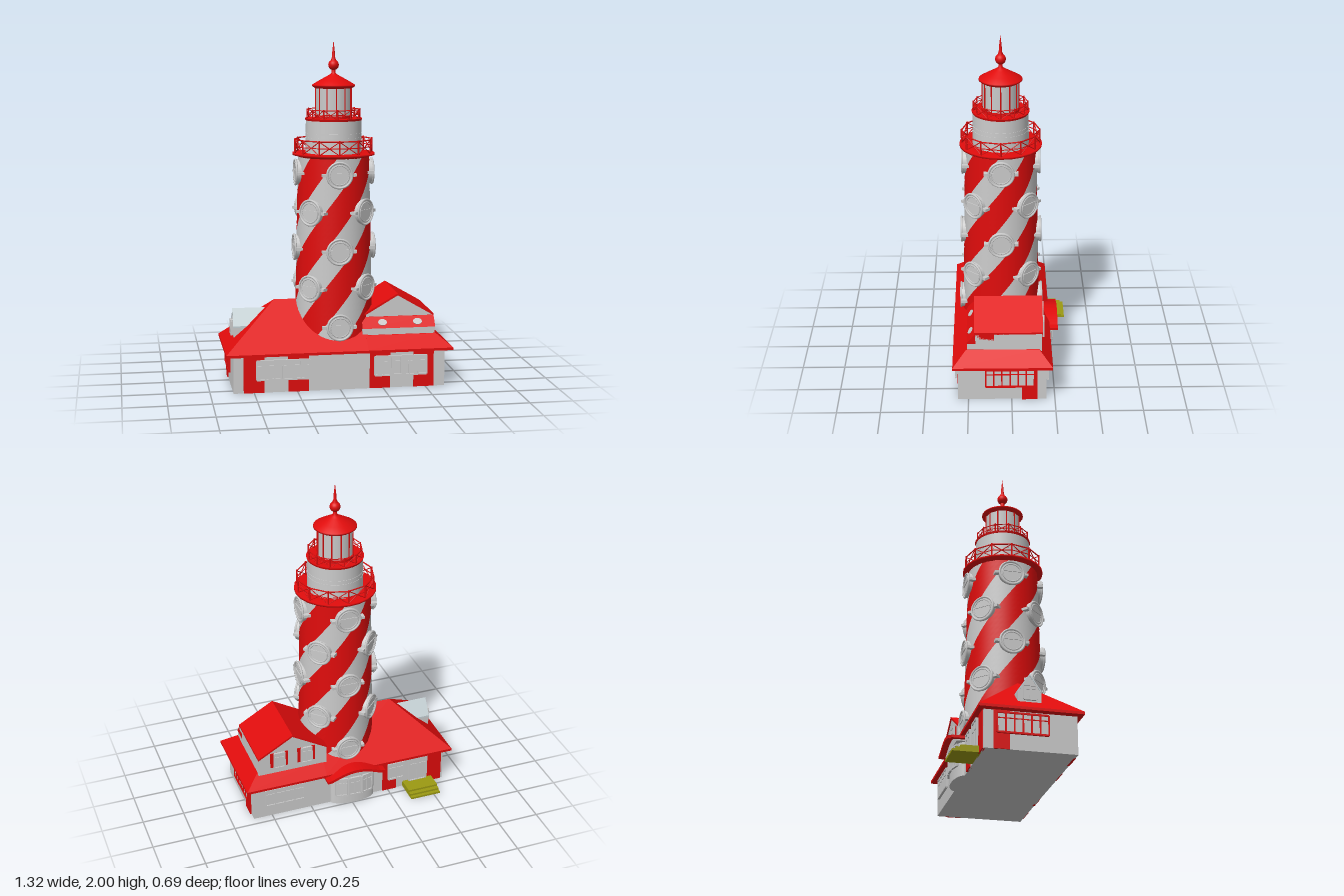
import * as THREE from 'three';

const mat = (color) => new THREE.MeshStandardMaterial({ color, side: THREE.DoubleSide });
const GREY = mat(0xcccccc), RED = mat(0xe00c0c), OLIVE = mat(0x9c9a12), GLASS = mat(0xc6d2d6);
const CZ = 0.055; // tower axis and main ridge

function add(parent, name, geo, material, x = 0, y = 0, z = 0) {
  const m = new THREE.Mesh(geo, material);
  m.name = name;
  m.position.set(x, y, z);
  parent.add(m);
  return m;
}

// Box given by its limits
function block(parent, name, material, x0, x1, y0, y1, z0, z1) {
  return add(parent, name, new THREE.BoxGeometry(x1 - x0, y1 - y0, z1 - z0), material,
    (x0 + x1) / 2, (y0 + y1) / 2, (z0 + z1) / 2);
}

// Box whose top rectangle differs from its bottom one: [x0, x1, z0, z1]
function tapered(parent, name, material, y0, y1, bottom, top) {
  const geo = new THREE.BoxGeometry(1, 1, 1), p = geo.attributes.position;
  for (let i = 0; i < p.count; i++) {
    const up = p.getY(i) > 0, r = up ? top : bottom;
    p.setXYZ(i, r[p.getX(i) > 0 ? 1 : 0], up ? y1 : y0, r[p.getZ(i) > 0 ? 3 : 2]);
  }
  geo.computeVertexNormals();
  return add(parent, name, geo, material);
}

function extrude(parent, name, material, pts, z0, z1) {
  const shape = new THREE.Shape(pts.map(([x, y]) => new THREE.Vector2(x, y)));
  return add(parent, name, new THREE.ExtrudeGeometry(shape, { depth: z1 - z0, bevelEnabled: false }), material, 0, 0, z0);
}

function lathe(parent, name, material, pts, segments = 48) {
  return add(parent, name, new THREE.LatheGeometry(pts.map(([x, y]) => new THREE.Vector2(x, y)), segments), material);
}

// Thin bar between two points
function bar(parent, name, material, a, b, r) {
  const m = add(parent, name, new THREE.CylinderGeometry(r, r, a.distanceTo(b), 5), material);
  m.position.copy(a).lerp(b, 0.5);
  m.quaternion.setFromUnitVectors(new THREE.Vector3(0, 1, 0), b.clone().sub(a).normalize());
}

// Framed window facing local +z
function windowUnit(parent, x, y, z, w, h, panes, turn = 0, frame = GREY) {
  const g = new THREE.Group();
  g.name = 'window';
  g.position.set(x, y, z);
  g.rotation.y = turn;
  block(g, 'windowPane', GREY, -w / 2, w / 2, -h / 2, h / 2, -0.005, 0.005);
  for (const s of [-1, 1]) block(g, 'windowRail', frame, -w / 2, w / 2, s * h / 2 - 0.005, s * h / 2 + 0.005, 0, 0.012);
  block(g, 'windowTransom', frame, -w / 2, w / 2, h * 0.2, h * 0.2 + 0.005, 0, 0.009);
  for (let i = 0; i <= panes; i++) {
    const u = -w / 2 + w * i / panes;
    block(g, 'windowMullion', frame, u - 0.004, u + 0.004, -h / 2, h / 2, 0, 0.011);
  }
  parent.add(g);
}

// Gabled body with a thin roof, ridge along local z
function gable(parent, name, roofMat, half, base, eave, ridge, z0, z1, over) {
  extrude(parent, name + 'Body', GREY, [[-half, base], [half, base], [half, eave - 0.01], [0, ridge - 0.012], [-half, eave - 0.01]], z0, z1);
  extrude(parent, name + 'Roof', roofMat, [[-half, eave - 0.012], [0, ridge - 0.012], [half, eave - 0.012], [half, eave],
    [0, ridge], [-half, eave]], z0 - over, z1 + over);
}

// Ring railing with crossed braces
function railing(parent, radius, y0, y1, n, r) {
  const at = (i, y) => new THREE.Vector3(Math.sin(i / n * Math.PI * 2) * radius, y, Math.cos(i / n * Math.PI * 2) * radius);
  for (let i = 0; i < n; i++) {
    bar(parent, 'railPost', RED, at(i, y0), at(i, y1 + 0.006), r * 1.3);
    bar(parent, 'topRail', RED, at(i, y1), at(i + 1, y1), r);
    bar(parent, 'midRail', RED, at(i, (y0 + y1) / 2), at(i + 1, (y0 + y1) / 2), r * 0.7);
    bar(parent, 'railBrace', RED, at(i, y0), at(i + 1, y1), r * 0.7);
    bar(parent, 'railBrace', RED, at(i, y1), at(i + 1, y0), r * 0.7);
  }
}

function buildTower() {
  const g = new THREE.Group(), H = 1.34, R0 = 0.235, R1 = 0.208, UP = new THREE.Vector3(0, 1, 0);
  g.name = 'tower';
  g.position.z = CZ;
  // Eight spiral stripes, each an eighth of the shaft, twisted with height
  for (let i = 0; i < 8; i++) {
    const geo = new THREE.CylinderGeometry(R1, R0, H, 6, 40, true, (i - 0.5) * Math.PI / 4, Math.PI / 4);
    geo.translate(0, H / 2, 0);
    const p = geo.attributes.position, n = geo.attributes.normal, v = new THREE.Vector3();
    for (let k = 0; k < p.count; k++) {
      const a = (p.getY(k) - 0.36) / 0.22 * Math.PI / 4;
      for (const t of [p, n]) {
        v.fromBufferAttribute(t, k).applyAxisAngle(UP, a);
        t.setXYZ(k, v.x, v.y, v.z);
      }
    }
    add(g, i % 2 ? 'redStripe' : 'whiteStripe', geo, i % 2 ? RED : GREY);
  }
  // Portholes follow the white stripes
  for (let i = 0; i < 8; i++) for (const y of i % 2 ? [0.58, 1.02] : [0.36, 0.8, 1.24]) {
    const a = i * Math.PI / 4, r = R0 + (R1 - R0) * y / H, port = new THREE.Group();
    port.name = 'porthole';
    port.position.set(Math.sin(a) * r, y, Math.cos(a) * r);
    port.rotation.y = a;
    add(port, 'portholeDrum', new THREE.CylinderGeometry(0.074, 0.074, 0.035, 24).rotateX(Math.PI / 2), GREY, 0, 0, -0.003);
    add(port, 'portholeRim', new THREE.TorusGeometry(0.072, 0.007, 6, 28), GREY, 0, 0, 0.014);
    add(port, 'portholeInnerRim', new THREE.TorusGeometry(0.056, 0.004, 5, 24), GREY, 0, 0, 0.015);
    block(port, 'portholeBar', GREY, -0.055, 0.055, 0.008, 0.014, 0.01, 0.019);
    for (const s of [-1, 1]) block(port, 'portholeEar', GREY, s * 0.084 - 0.016, s * 0.084 + 0.016, -0.008, 0.008, -0.025, 0.014);
    g.add(port);
  }
  // Galleries, watch room and lantern
  lathe(g, 'lowerGallery', RED, [[0.2, 1.325], [0.215, 1.335], [0.24, 1.34], [0.24, 1.352], [0.15, 1.352]], 24);
  railing(g, 0.226, 1.352, 1.43, 12, 0.004);
  add(g, 'watchRoom', new THREE.CylinderGeometry(0.161, 0.163, 0.2, 40), GREY, 0, 1.445, 0);
  for (const y of [1.44, 1.465]) add(g, 'watchRoomBand', new THREE.CylinderGeometry(0.164, 0.164, 0.005, 40), GREY, 0, y, 0);
  add(g, 'upperGallery', new THREE.CylinderGeometry(0.167, 0.163, 0.012, 40), RED, 0, 1.546, 0);
  railing(g, 0.156, 1.55, 1.602, 12, 0.003);
  add(g, 'lanternGlass', new THREE.CylinderGeometry(0.103, 0.103, 0.19, 12), GREY, 0, 1.645, 0);
  for (let i = 0; i < 12; i++) {
    const a = i * Math.PI / 6, x = Math.sin(a) * 0.104, z = Math.cos(a) * 0.104;
    bar(g, 'lanternMullion', RED, new THREE.Vector3(x, 1.55, z), new THREE.Vector3(x, 1.735, z), 0.004);
  }
  add(g, 'lanternSill', new THREE.CylinderGeometry(0.109, 0.109, 0.015, 24), RED, 0, 1.56, 0);
  lathe(g, 'lanternRoof', RED, [[0, 1.725], [0.108, 1.725], [0.126, 1.737], [0.124, 1.745], [0.085, 1.768], [0.04, 1.793],
    [0.022, 1.803], [0.012, 1.812], [0.012, 1.835]], 24);
  add(g, 'finialBall', new THREE.SphereGeometry(0.031, 20, 14), RED, 0, 1.858, 0);
  lathe(g, 'finialSpire', RED, [[0.018, 1.88], [0.01, 1.9], [0.007, 1.94], [0, 2]], 12);
  return g;
}

function buildHouse() {
  const g = new THREE.Group();
  g.name = 'house';
  block(g, 'walls', GREY, -0.618, 0.615, 0, 0.22, -0.2, 0.31);
  // Hipped roof: main wing, and the low part beneath the large dormer
  block(g, 'eaves', RED, -0.66, 0.66, 0.215, 0.23, -0.235, 0.34);
  tapered(g, 'mainRoof', RED, 0.23, 0.49, [-0.66, 0.17, -0.235, 0.34], [-0.355, 0.17, 0.0525, 0.0525]);
  tapered(g, 'lowRoof', RED, 0.23, 0.302, [0.16, 0.66, -0.235, 0.34], [0.16, 0.572, -0.158, 0.262]);
  // Front shutters and windows
  for (const x of [-0.5, -0.243, 0.232, 0.49]) block(g, 'frontPanel', RED, x - 0.06, x + 0.06, 0, 0.217, 0.3, 0.313);
  for (const x of [-0.333, 0.353]) windowUnit(g, x, 0.133, 0.317, 0.305, 0.11, 6);
  // End walls
  for (const s of [-1, 1]) {
    const x = s * 0.617;
    block(g, 'endPanel', RED, x - 0.006, x + 0.006, 0, 0.217, -0.148, -0.06);
    windowUnit(g, x + s * 0.005, 0.145, 0.01, 0.28, 0.11, 6, s * Math.PI / 2, RED);
  }
  // Back wall
  for (const x of [-0.26, -0.56]) block(g, 'backPanel', RED, x - 0.045, x + 0.045, 0, 0.217, -0.206, -0.19);
  windowUnit(g, 0.42, 0.138, -0.205, 0.24, 0.11, 4, Math.PI);
  windowUnit(g, -0.3, 0.138, -0.208, 0.1, 0.11, 2, Math.PI);
  windowUnit(g, -0.445, 0.12, -0.205, 0.11, 0.17, 2, Math.PI);
  [-0.35, -0.33, -0.305].forEach((z, i) => block(g, 'step', OLIVE, -0.54, -0.35, i * 0.012, (i + 1) * 0.012, z, -0.195));

  // Curved bay with an arched canopy
  const bay = new THREE.CylinderGeometry(0.14, 0.14, 0.22, 24, 1, false, Math.PI / 2, Math.PI);
  add(g, 'bay', bay.scale(1, 1, 0.36), GREY, -0.015, 0.11, -0.198);
  for (const s of [-1, 0, 1]) windowUnit(g, -0.015 + s * 0.08, 0.125, s ? -0.24 : -0.249, 0.07, 0.12, 2, Math.PI - s * 0.24);
  const arch = (lift, dir) => Array.from({ length: 17 }, (_, i) => {
    const t = dir * (i / 8 - 1);
    return [-0.015 + t * 0.155, 0.203 + lift + 0.04 * Math.cos(t * Math.PI / 2)];
  });
  extrude(g, 'canopyRoof', RED, [[-0.2, 0.2], ...arch(0, 1), [0.17, 0.2], [0.17, 0.215], ...arch(0.018, -1), [-0.2, 0.215]], -0.285, -0.17);
  extrude(g, 'canopyWall', GREY, [[-0.17, 0.195], [0.14, 0.195], ...arch(0, -1)], -0.25, -0.18);

  // Large dormer, ridge front to back
  const big = new THREE.Group();
  big.name = 'largeDormer';
  big.position.x = 0.355;
  gable(big, 'dormer', RED, 0.215, 0.22, 0.41, 0.535, -0.173, 0.208, 0.007);
  block(big, 'dormerLowerWall', GREY, -0.215, 0.213, 0.24, 0.34, 0.1, 0.256);
  tapered(big, 'dormerSkirt', RED, 0.34, 0.4, [-0.215, 0.215, 0.1, 0.26], [-0.215, 0.215, 0.1, 0.212]);
  for (const x of [-0.095, 0.113]) {
    const disc = add(big, 'ovalWindow', new THREE.CylinderGeometry(0.026, 0.026, 0.008, 20).scale(1, 1, 0.78), GREY, x, 0.37, 0.237);
    disc.rotation.x = 0.896;
  }
  for (const x of [-0.085, 0.085]) {
    block(big, 'dormerShutter', RED, x - 0.055, x + 0.055, 0.33, 0.43, -0.178, -0.17);
    windowUnit(big, x, 0.38, -0.18, 0.065, 0.1, 2, Math.PI);
  }
  g.add(big);

  // Small dormer, ridge along the house
  const small = new THREE.Group();
  small.name = 'smallDormer';
  small.position.z = CZ;
  small.rotation.y = Math.PI / 2;
  gable(small, 'smallDormer', GLASS, 0.065, 0.24, 0.35, 0.445, -0.598, -0.405, 0.003);
  windowUnit(small, 0, 0.335, -0.602, 0.07, 0.08, 2, Math.PI);
  g.add(small);
  return g;
}

export function createModel() {
  const model = new THREE.Group();
  model.name = 'lighthouse';
  model.add(buildHouse(), buildTower());
  return model;
}
